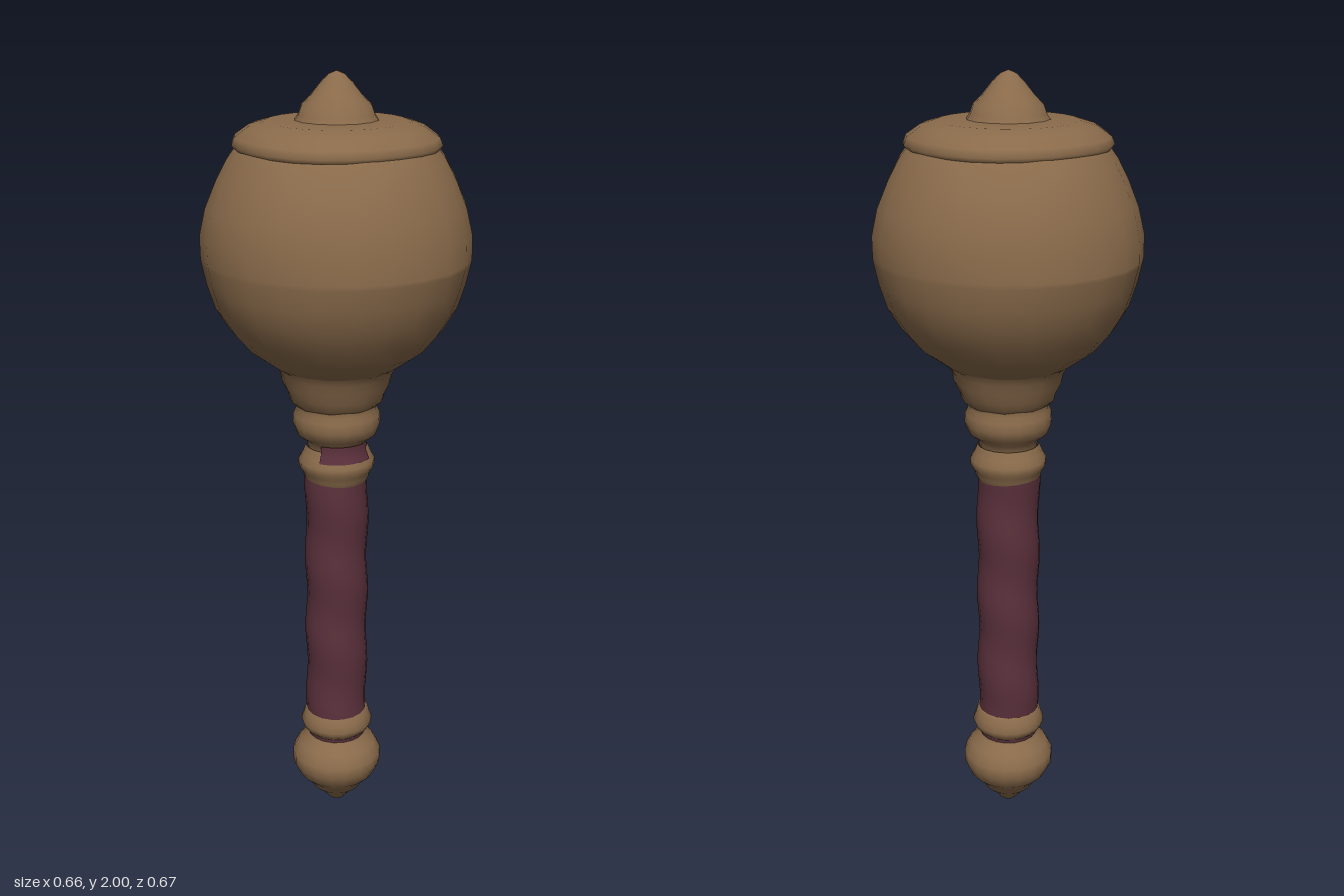
import * as THREE from 'three';
import { mergeVertices } from 'three/addons/utils/BufferGeometryUtils.js';

const wood = new THREE.MeshStandardMaterial({ color: 0x8a6b4b });
wood.name = 'brown wood';
const leather = new THREE.MeshStandardMaterial({ color: 0x5a303b });
leather.name = 'maroon leather';

// Turned part from [radius, height] pairs, bottom to top, with an optional radius offset rule
function turned(name, profile, material, sides, offset) {
  const points = profile.map(([r, y]) => new THREE.Vector2(r, y));
  let geometry = new THREE.LatheGeometry(points, sides);
  if (offset) {
    geometry.deleteAttribute('uv');
    geometry.deleteAttribute('normal');
    geometry = mergeVertices(geometry, 1e-4);
    const p = geometry.attributes.position;
    for (let i = 0; i < p.count; i++) {
      const r = Math.hypot(p.getX(i), p.getZ(i));
      if (r < 1e-4) continue;
      const a = Math.atan2(p.getX(i), p.getZ(i));
      const k = 1 + offset(a, p.getY(i)) / r;
      p.setX(i, p.getX(i) * k);
      p.setZ(i, p.getZ(i) * k);
    }
    geometry.computeVertexNormals();
  }
  const mesh = new THREE.Mesh(geometry, material);
  mesh.name = name;
  return mesh;
}

export function createModel() {
  const mace = new THREE.Group();
  mace.name = 'mace';
  const carved = (a, y) => 0.003 * Math.sin(3 * a + 11 * y) * Math.sin(5 * a - 17 * y);

  // Round head, with a faint step around its widest line
  mace.add(turned('head', [
    [0.145, 1.285], [0.17, 1.3], [0.225, 1.34], [0.262, 1.385], [0.297, 1.44],
    [0.318, 1.5], [0.329, 1.555], [0.33, 1.565], [0.329, 1.62], [0.316, 1.685],
    [0.29, 1.75], [0.262, 1.8], [0.243, 1.825],
  ], wood, 24, carved));

  // Raised cap on the crown
  mace.add(turned('cap', [
    [0.243, 1.822], [0.25, 1.832], [0.243, 1.85], [0.21, 1.874],
    [0.17, 1.886], [0.12, 1.888], [0.08, 1.889],
  ], wood, 24, (a, y) => 0.004 * Math.sin(4 * a) * Math.sin(25 * y)));

  // Pointed finial
  mace.add(turned('finial', [
    [0.103, 1.886], [0.093, 1.9], [0.085, 1.922], [0.062, 1.945],
    [0.042, 1.97], [0.02, 1.992], [0, 2],
  ], wood, 14));

  // Flared neck under the head
  mace.add(turned('neck', [
    [0.103, 1.185], [0.118, 1.198], [0.122, 1.215], [0.138, 1.245],
    [0.143, 1.27], [0.158, 1.292],
  ], wood, 18, carved));

  // Two collar rings above the grip
  mace.add(turned('upperCollar', [
    [0.074, 1.07], [0.078, 1.09], [0.102, 1.108], [0.112, 1.135],
    [0.11, 1.16], [0.103, 1.175], [0.105, 1.19],
  ], wood, 18));
  mace.add(turned('lowerCollar', [
    [0.079, 0.98], [0.085, 0.992], [0.088, 1.005], [0.097, 1.018],
    [0.098, 1.035], [0.088, 1.052], [0.079, 1.075],
  ], wood, 18));

  // Leather showing between the collars at the front
  const patch = new THREE.Mesh(new THREE.LatheGeometry(
    [[0.093, 1.048], [0.084, 1.07], [0.084, 1.092]].map(([r, y]) => new THREE.Vector2(r, y)),
    8, -1.4, 1.6), leather);
  patch.material.side = THREE.DoubleSide;
  patch.name = 'collarLeather';
  mace.add(patch);

  // Leather grip, with shallow spiral wraps
  const gripProfile = [];
  for (let i = 0; i <= 24; i++) gripProfile.push([0.081, 0.295 + i * 0.029]);
  mace.add(turned('grip', gripProfile, leather, 18,
    (a, y) => 0.003 * Math.sin(a + y * 30)));

  // Ring below the grip
  mace.add(turned('lowerRing', [
    [0.074, 0.235], [0.09, 0.25], [0.097, 0.268], [0.09, 0.285], [0.085, 0.305], [0.078, 0.308],
  ], wood, 18));
  mace.add(turned('leatherBand', [[0.077, 0.228], [0.079, 0.244]], leather, 18));

  // Pommel ending in a point
  mace.add(turned('pommel', [
    [0, 0], [0.022, 0.015], [0.045, 0.042], [0.066, 0.06], [0.072, 0.075],
    [0.104, 0.105], [0.121, 0.14], [0.121, 0.17], [0.105, 0.2], [0.082, 0.22], [0.074, 0.236],
  ], wood, 18));

  return mace;
}
